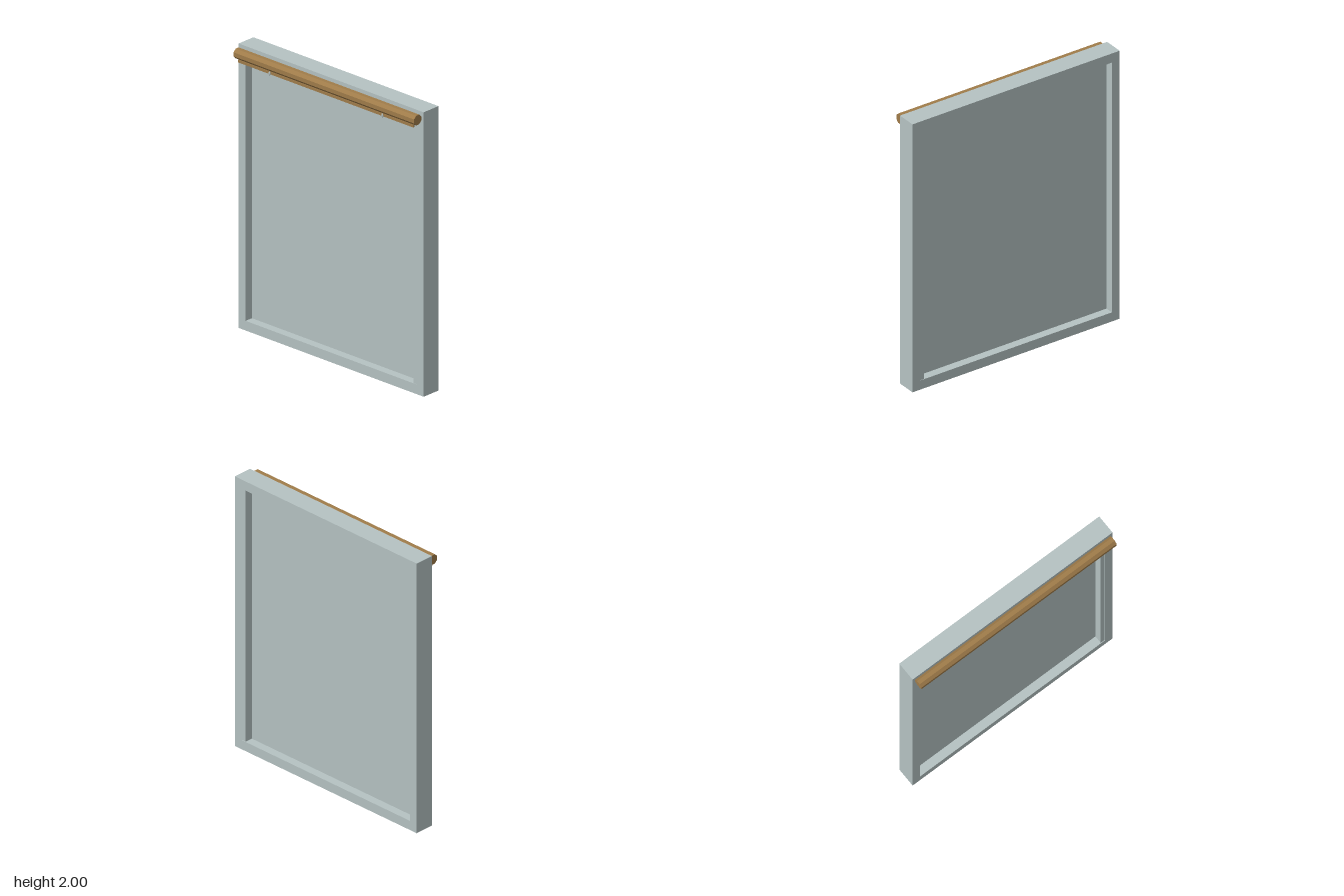
import * as THREE from 'three';

const paleGrey = new THREE.MeshStandardMaterial({ color: 0xb5c2c2 });
paleGrey.name = 'pale grey';
const wood = new THREE.MeshStandardMaterial({ color: 0xa07c4a });
wood.name = 'wood brown';
const FRONT = 0.035, BACK = -0.105;

export function createModel() {
  const group = new THREE.Group();

  const add = (name, geometry, material, x = 0, y = 0, z = 0) => {
    const mesh = new THREE.Mesh(geometry, material);
    mesh.name = name;
    mesh.position.set(x, y, z);
    group.add(mesh);
    return mesh;
  };
  // box given by its limits on each axis
  const addBox = (name, material, [x0, x1], [y0, y1], [z0, z1]) =>
    add(name, new THREE.BoxGeometry(x1 - x0, y1 - y0, z1 - z0), material,
      (x0 + x1) / 2, (y0 + y1) / 2, (z0 + z1) / 2);

  // window frame with a rectangular opening
  const rectangle = (PathType, x0, y0, x1, y1) => new PathType([
    new THREE.Vector2(x0, y0), new THREE.Vector2(x1, y0),
    new THREE.Vector2(x1, y1), new THREE.Vector2(x0, y1),
  ]);
  const outline = rectangle(THREE.Shape, -0.82, 0, 0.82, 2);
  outline.holes.push(rectangle(THREE.Path, -0.758, 0.068, 0.758, 1.932));
  add('windowFrame', new THREE.ExtrudeGeometry(outline, { depth: FRONT - BACK, bevelEnabled: false }),
    paleGrey, 0, 0, BACK);

  // side stop inside the opening, and the recessed pane
  addBox('sideStop', paleGrey, [0.726, 0.759], [0.067, 1.933], [BACK + 0.004, FRONT - 0.004]);
  addBox('pane', paleGrey, [-0.759, 0.73], [0.067, 1.933], [-0.045, -0.025]);

  // eight-sided blind roll, with a flat facing up
  const rollGeometry = new THREE.CylinderGeometry(0.037, 0.037, 1.6, 8).toNonIndexed();
  rollGeometry.computeVertexNormals();
  rollGeometry.rotateY(Math.PI / 8);
  rollGeometry.rotateZ(Math.PI / 2);
  add('blindRoll', rollGeometry, wood, 0, 1.951, 0.07);

  // short hanging edge of the blind and its bottom slat
  addBox('blindEdge', wood, [-0.778, 0.774], [1.905, 1.922], [0.075, 0.079]);
  addBox('bottomSlat', wood, [-0.778, 0.774], [1.894, 1.912], [0.071, 0.083]);

  // two small pulls on the slat
  for (const x of [-0.5, 0.5]) {
    const pull = add('blindPull', new THREE.SphereGeometry(1, 10, 8), paleGrey, x, 1.899, 0.083);
    pull.scale.set(0.008, 0.015, 0.005);
  }
  return group;
}
